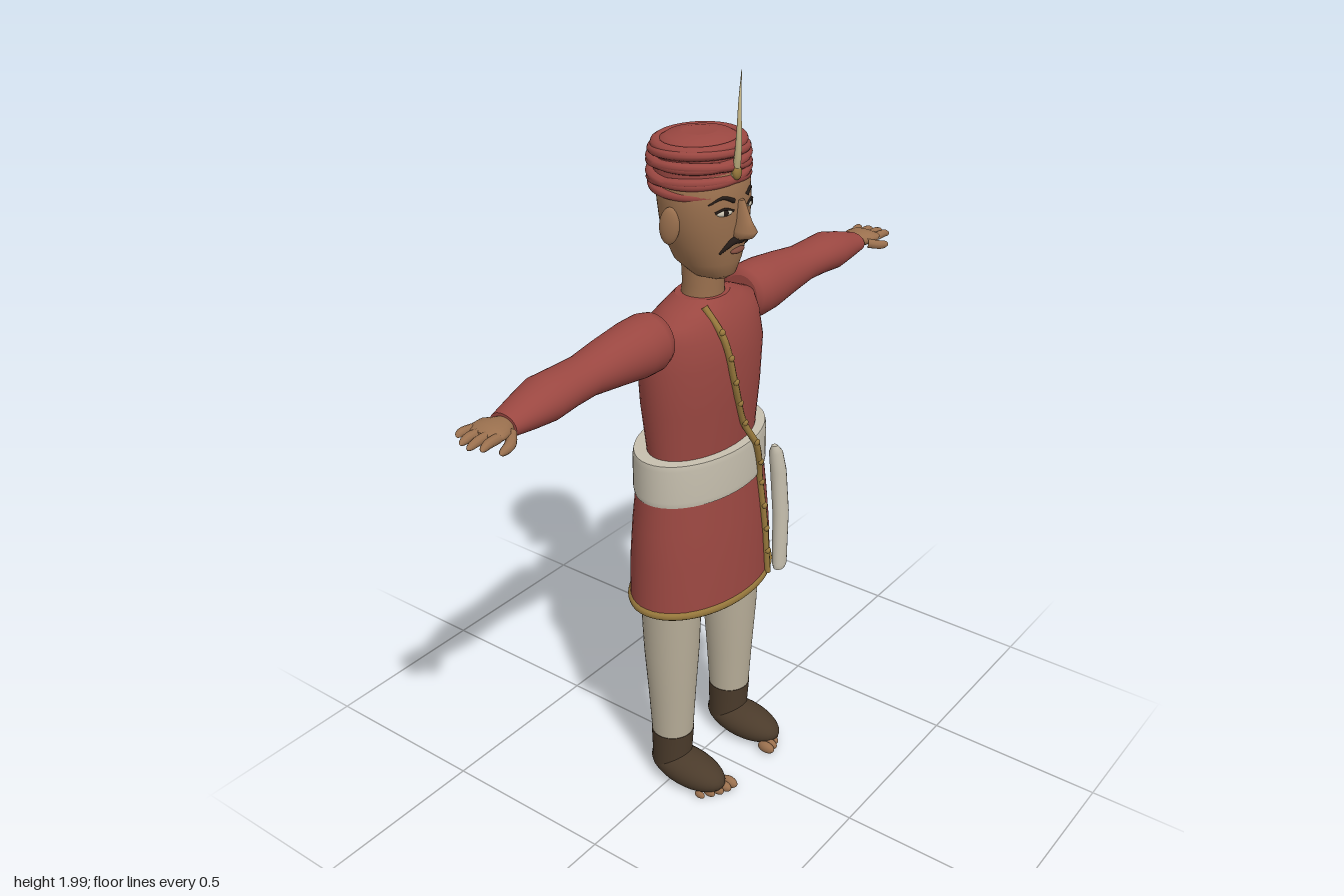
import * as THREE from 'three';

const mat = (name, color, side = THREE.FrontSide) => {
  const m = new THREE.MeshStandardMaterial({ color, side });
  m.name = name;
  return m;
};
const V = (x, y, z) => new THREE.Vector3(x, y, z);

// Ellipse cross-sections [y, rx, rz, cz, cx], capped; a repeated ring makes a sharp edge
function loft(rings, seg = 40) {
  const pos = [], idx = [];
  const addRing = ([y, rx, rz, cz = 0, cx = 0]) => {
    for (let i = 0; i < seg; i++) {
      const a = (i / seg) * Math.PI * 2;
      pos.push(cx + rx * Math.sin(a), y, cz + rz * Math.cos(a));
    }
  };
  rings.forEach(addRing);
  for (let r = 0; r < rings.length - 1; r++) {
    if (rings[r] === rings[r + 1]) continue;
    for (let i = 0; i < seg; i++) {
      const a = r * seg + i, b = r * seg + ((i + 1) % seg);
      idx.push(a, b, b + seg, a, b + seg, a + seg);
    }
  }
  [rings[0], rings[rings.length - 1]].forEach((ring, top) => {
    const s = pos.length / 3;
    addRing(ring);
    pos.push(ring[4] || 0, ring[0], ring[3] || 0);
    for (let i = 0; i < seg; i++) {
      const a = s + i, b = s + ((i + 1) % seg);
      if (top) idx.push(a, b, s + seg);
      else idx.push(b, a, s + seg);
    }
  });
  const g = new THREE.BufferGeometry();
  g.setAttribute('position', new THREE.Float32BufferAttribute(pos, 3));
  g.setIndex(idx);
  g.computeVertexNormals();
  return g;
}

// Front z of a lofted surface at (x, y)
function frontZ(rings, x, y) {
  let k = 0;
  while (k < rings.length - 2 && rings[k + 1][0] < y) k++;
  const a = rings[k], b = rings[k + 1];
  const t = THREE.MathUtils.clamp((y - a[0]) / (b[0] - a[0] || 1), 0, 1);
  const [rx, rz, cz] = [1, 2, 3].map(i => a[i] + (b[i] - a[i]) * t);
  return cz + rz * Math.sqrt(Math.max(0, 1 - (x / rx) ** 2));
}

// Tube whose radius varies along its path
function taper(points, radius, n = 24, sides = 10) {
  const curve = new THREE.CatmullRomCurve3(points);
  const g = new THREE.TubeGeometry(curve, n, 1, sides);
  const p = g.attributes.position, v = V(0, 0, 0);
  for (let i = 0; i < p.count; i++) {
    const t = Math.floor(i / (sides + 1)) / n, c = curve.getPointAt(t);
    v.fromBufferAttribute(p, i).sub(c).multiplyScalar(radius(t)).add(c);
    p.setXYZ(i, v.x, v.y, v.z);
  }
  return g;
}

export function createModel() {
  const root = new THREE.Group();
  root.name = 'figure';
  const red = mat('red cloth', 0x9a4741), skin = mat('skin', 0x9a704e);
  const trouser = mat('trouser cream', 0xb8ae99), sashMat = mat('sash cream', 0xc6bfae);
  const boot = mat('boot brown', 0x4b3b2b), gold = mat('gold trim', 0x97783c);
  const plume = mat('plume cream', 0xb9aa7c, THREE.DoubleSide);
  const dark = mat('dark hair', 0x241b17), white = mat('eye white', 0xd3cbb8);
  const lipMat = mat('lip', 0x7d4a3c);

  const add = (name, geo, m, parent = root) => {
    const mesh = new THREE.Mesh(geo, m);
    mesh.name = name;
    parent.add(mesh);
    return mesh;
  };
  const ball = (name, m, x, y, z, sx, sy, sz) => {
    const b = add(name, new THREE.SphereGeometry(1, 24, 16), m);
    b.position.set(x, y, z);
    b.scale.set(sx, sy, sz);
    return b;
  };

  // Tunic, skirt, belt and hem
  const chest = [[1.0, 0.187, 0.108, -0.01], [1.06, 0.188, 0.11, -0.01], [1.18, 0.2, 0.122, -0.012],
    [1.3, 0.208, 0.126, -0.012], [1.37, 0.197, 0.112, -0.01], [1.41, 0.183, 0.095, -0.008],
    [1.435, 0.125, 0.08, -0.008], [1.455, 0.075, 0.065, -0.008]];
  const skirt = [[0.607, 0.244, 0.157, -0.012], [0.75, 0.238, 0.152, -0.013], [0.85, 0.23, 0.144, -0.014],
    [0.95, 0.218, 0.134, -0.014]];
  const lo = [0.935, 0.222, 0.139, -0.014], hi = [1.055, 0.222, 0.137, -0.014];
  const belt = [lo, lo, [0.95, 0.225, 0.141, -0.014], [1.04, 0.225, 0.14, -0.014], hi, hi, [1.056, 0.18, 0.1, -0.014]];
  add('tunic', loft(chest, 48), red);
  add('skirt', loft(skirt, 48), red);
  add('belt', loft(belt, 48), sashMat);
  const hem = add('hemTrim', new THREE.TorusGeometry(1, 0.05, 10, 64), gold);
  hem.rotation.x = Math.PI / 2;
  hem.position.set(0, 0.617, -0.012);
  hem.scale.set(0.239, 0.154, 0.24);

  // Diagonal cord lying on the clothes, with small studs
  const cordXY = [[-0.07, 1.445], [-0.06, 1.37], [-0.03, 1.24], [0.02, 1.11], [0.05, 1.045], [0.066, 1.0],
    [0.085, 0.93], [0.096, 0.8], [0.11, 0.62]];
  const cordPts = cordXY.map(([x, y]) => {
    const s = y > 1.06 ? chest : y > 0.93 ? belt : skirt;
    return V(x, y, frontZ(s, x, y) + 0.006);
  });
  add('shoulderCord', taper(cordPts, () => 0.009, 60, 8), gold);
  const cordCurve = new THREE.CatmullRomCurve3(cordPts);
  for (let i = 1; i < 12; i++) {
    const p = cordCurve.getPointAt(i / 12);
    ball('cordStud', gold, p.x, p.y, p.z + 0.006, 0.009, 0.009, 0.007);
  }
  // Hanging sash end
  add('sashEnd', loft([[0.625, 0.019, 0.014, 0.15, 0.142], [0.64, 0.023, 0.019, 0.15, 0.143],
    [0.8, 0.025, 0.021, 0.147, 0.147], [0.93, 0.024, 0.021, 0.142, 0.138], [0.99, 0.02, 0.018, 0.14, 0.127],
    [1.012, 0.008, 0.008, 0.14, 0.12]], 16), sashMat);

  // Limbs
  for (const s of [1, -1]) {
    const x = 0.136 * s;
    add('trouserLeg', loft([[0.165, 0.058, 0.058, -0.012, x], [0.3, 0.066, 0.066, -0.012, x],
      [0.45, 0.077, 0.076, -0.012, x], [0.62, 0.083, 0.083, -0.012, x]]), trouser);
    add('bootShaft', loft([[0.05, 0.054, 0.056, -0.014, x], [0.1, 0.056, 0.057, -0.014, x],
      [0.172, 0.06, 0.06, -0.012, x]]), boot);
    // Foot: an ellipsoid, flat below and lower towards the toes
    const foot = new THREE.SphereGeometry(1, 28, 20), p = foot.attributes.position;
    for (let i = 0; i < p.count; i++) {
      const z = p.getZ(i), y = p.getY(i);
      p.setXYZ(i, x + p.getX(i) * 0.063, Math.max(0.008, 0.052 - 0.008 * z + y * 0.05), 0.042 + z * 0.123);
    }
    foot.computeVertexNormals();
    add('bootFoot', foot, boot);
    for (let i = 0; i < 5; i++) {
      const r = 0.017 - i * 0.0017;
      ball('toe', skin, s * (0.093 + i * 0.022), r + 0.006, 0.155 - i * i * 0.0024, r * 0.85, r, r * 1.6);
    }
    // Sleeve: [x, ry, rz, cz, cy], laid along x
    const sleeve = [[0.178, 0.05, 0.05, -0.015, 1.385], [0.188, 0.068, 0.066, -0.015, 1.385],
      [0.215, 0.075, 0.075, -0.015, 1.384], [0.27, 0.073, 0.075, -0.015, 1.384], [0.36, 0.062, 0.066, -0.015, 1.385],
      [0.45, 0.05, 0.057, -0.012, 1.386], [0.52, 0.05, 0.06, -0.012, 1.385], [0.59, 0.053, 0.064, -0.012, 1.382],
      [0.65, 0.043, 0.053, -0.01, 1.377], [0.72, 0.028, 0.04, -0.008, 1.371]];
    const along = list => list.map(([a, ry, rz, cz, cy]) => [a, ry, rz, cz, -s * cy]);
    add('sleeve', loft(along(sleeve)), red).rotation.z = -s * Math.PI / 2;
    const hand = [[0.7, 0.018, 0.026, -0.006, 1.372], [0.725, 0.019, 0.031, -0.006, 1.374],
      [0.75, 0.021, 0.048, -0.004, 1.378], [0.775, 0.018, 0.05, -0.003, 1.378], [0.797, 0.011, 0.04, -0.003, 1.376]];
    add('hand', loft(along(hand), 24), skin).rotation.z = -s * Math.PI / 2;
    for (let i = 0; i < 4; i++) {
      const z = -0.04 + i * 0.025, end = [0.822, 0.843, 0.85, 0.838][i];
      add('finger', taper([V(s * 0.78, 1.378, z), V(s * 0.815, 1.379, z * 1.1), V(s * end, 1.372, z * 1.15)],
        t => 0.0115 * Math.sqrt(1.02 - t ** 4), 12), skin);
    }
    add('thumb', taper([V(s * 0.735, 1.37, 0.03), V(s * 0.765, 1.362, 0.054), V(s * 0.803, 1.355, 0.06)],
      t => 0.013 * Math.sqrt(1.02 - t ** 4), 12), skin);
  }

  // Head and neck
  const head = [[1.503, 0.025, 0.03, 0.035], [1.515, 0.055, 0.056, 0.026], [1.55, 0.084, 0.084, 0.008],
    [1.6, 0.105, 0.098, 0.003], [1.65, 0.12, 0.105, 0], [1.7, 0.126, 0.108, -0.002],
    [1.75, 0.124, 0.108, -0.006], [1.8, 0.1, 0.09, -0.012]];
  add('neck', loft([[1.42, 0.06, 0.056, -0.008], [1.48, 0.054, 0.052, -0.005], [1.56, 0.058, 0.055, -0.005]]), skin);
  add('head', loft(head, 48), skin);
  add('nose', loft([[1.612, 0.012, 0.012, 0.108], [1.62, 0.023, 0.03, 0.112], [1.636, 0.022, 0.04, 0.114],
    [1.66, 0.015, 0.028, 0.11], [1.71, 0.009, 0.014, 0.102]], 20), skin);
  const onFace = (x, y, lift) => V(x, y, frontZ(head, x, y) + lift);
  for (const s of [1, -1]) {
    const ear = ball('ear', skin, s * 0.127, 1.655, -0.01, 0.014, 0.047, 0.026);
    ear.rotation.set(0.1, -s * 0.25, 0);
    const e = onFace(s * 0.052, 1.688, 0);
    ball('eye', white, e.x, e.y, e.z, 0.022, 0.009, 0.006).rotation.y = s * 0.4;
    ball('iris', dark, e.x, e.y, e.z + 0.004, 0.008, 0.008, 0.004).rotation.y = s * 0.4;
    add('upperLid', taper([onFace(s * 0.028, 1.689, 0.002), onFace(s * 0.052, 1.698, 0.003), onFace(s * 0.076, 1.69, 0.002)],
      () => 0.003, 12, 6), dark);
    add('eyebrow', taper([onFace(s * 0.024, 1.712, 0), onFace(s * 0.055, 1.724, 0), onFace(s * 0.088, 1.71, 0)],
      t => 0.006 - 0.004 * t, 14, 8), dark);
    add('moustache', taper([onFace(0, 1.612, 0.002), onFace(s * 0.025, 1.612, 0.004), onFace(s * 0.042, 1.6, 0.003),
      onFace(s * 0.054, 1.583, 0.001)], t => 0.012 - 0.0095 * t, 16, 10), dark);
  }
  ball('lips', lipMat, 0, 1.582, frontZ(head, 0, 1.582), 0.026, 0.008, 0.01);

  // Turban: core with a domed cap and overlapping, tilted wraps
  add('turbanCap', loft([[1.725, 0.12, 0.108, -0.017], [1.82, 0.12, 0.106, -0.017], [1.838, 0.106, 0.096, -0.017],
    [1.85, 0.085, 0.077, -0.017], [1.856, 0.045, 0.042, -0.017]]), red);
  const wraps = [[1.735, 0.117, 0.05, 0.05], [1.75, 0.12, -0.07, -0.06], [1.768, 0.121, 0.06, 0.1],
    [1.785, 0.121, -0.04, -0.1], [1.802, 0.12, 0.05, 0.06], [1.818, 0.117, -0.04, -0.05], [1.833, 0.109, 0, 0.02]];
  for (const [y, r, tx, tz] of wraps) {
    const g = new THREE.TorusGeometry(r, 0.0165, 10, 56);
    g.rotateX(Math.PI / 2).scale(1, 0.75, 0.9);
    const w = add('turbanWrap', g, red);
    w.position.set(0, y, -0.017);
    w.rotation.set(tx, 0, tz);
  }
  // Plume at the front and cloth tail behind
  add('plume', taper([V(-0.014, 1.765, 0.098), V(-0.014, 1.82, 0.106), V(-0.006, 1.88, 0.103), V(0.014, 1.94, 0.09),
    V(0.048, 2.0, 0.07)], t => 0.0105 * (1 - t) + 0.0006), plume);
  ball('plumeHolder', gold, -0.014, 1.778, 0.104, 0.014, 0.018, 0.01);
  add('turbanTail', taper([V(0.055, 1.755, -0.11), V(0.07, 1.735, -0.138), V(0.08, 1.68, -0.156),
    V(0.082, 1.61, -0.162), V(0.078, 1.532, -0.152)], t => 0.017 + 0.004 * Math.sin(t * Math.PI)), plume);
  ball('tailEnd', plume, 0.078, 1.533, -0.152, 0.017, 0.006, 0.017);
  return root;
}
